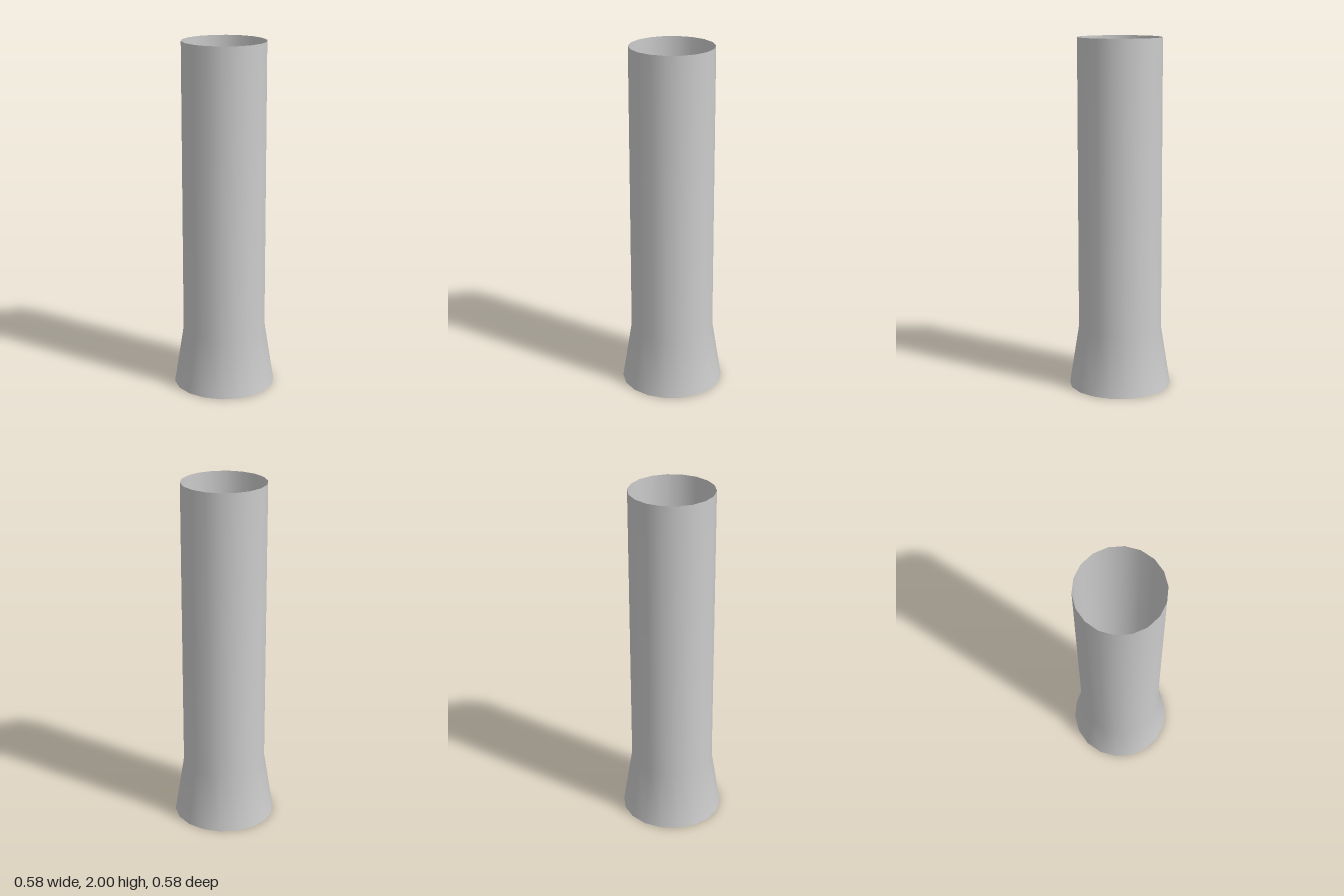
import * as THREE from 'three';

export function createModel() {
  const group = new THREE.Group();
  group.name = 'flaredTube';

  // Open, thin-walled tube with a flared foot; a corner of the 18 sides lies on +x
  const profile = [[0.292, 0], [0.238, 0.34], [0.238, 2]].map(([r, y]) => new THREE.Vector2(r, y));
  const geometry = new THREE.LatheGeometry(profile, 18, Math.PI / 2);
  const material = new THREE.MeshStandardMaterial({ color: 0xcccccc, side: THREE.DoubleSide });

  const tube = new THREE.Mesh(geometry, material);
  tube.name = 'tubeWall';
  group.add(tube);
  return group;
}
